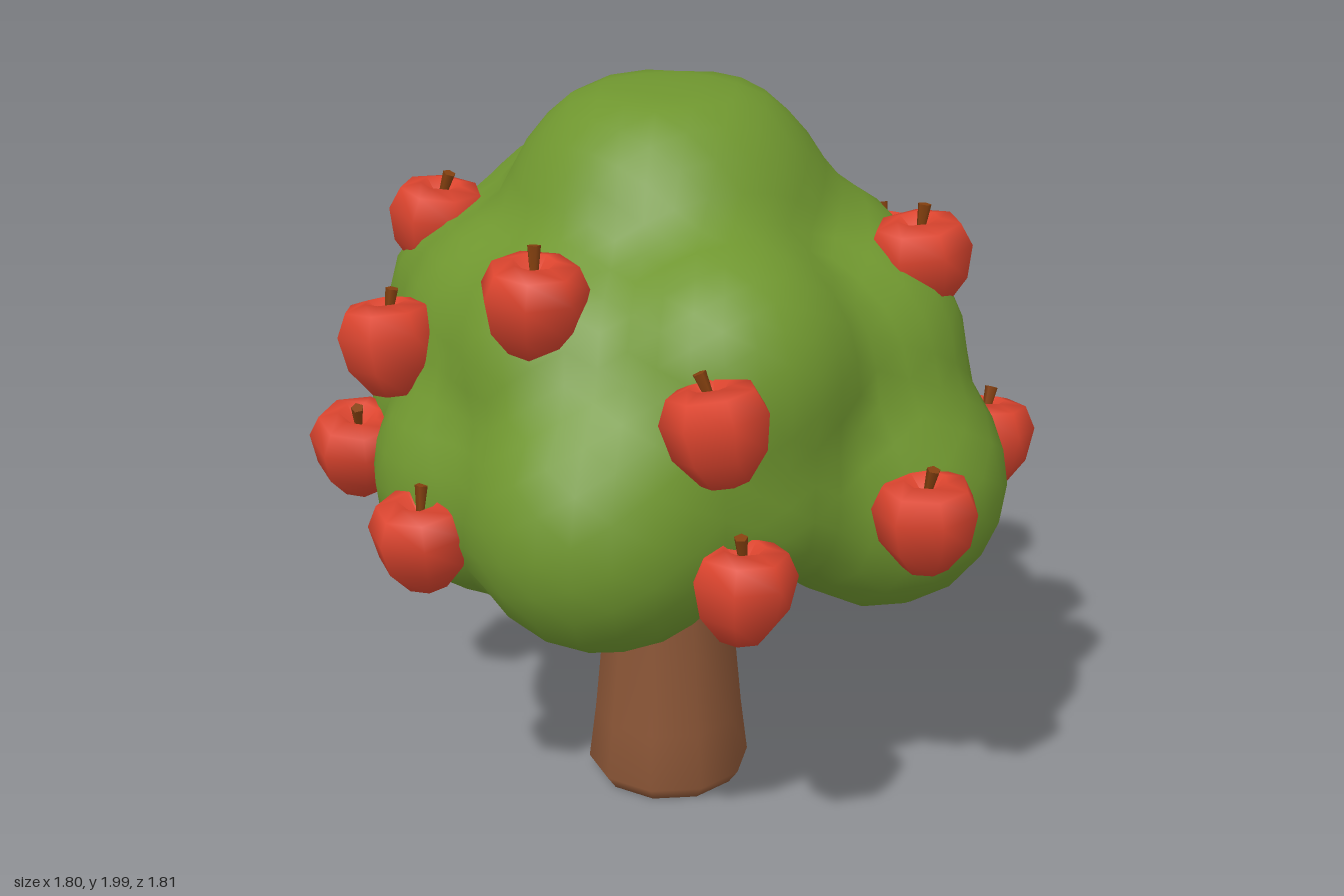
import * as THREE from 'three';
import { mergeVertices } from 'three/addons/utils/BufferGeometryUtils.js';

const material = (name, color) => {
  const m = new THREE.MeshStandardMaterial({ color });
  m.name = name;
  return m;
};

// Foliage lobes: x, y, z, radius
const LOBES = [
  // crown and core
  [0.02, 1.59, -0.03, 0.45], [0, 1.2, 0, 0.45],
  // front
  [-0.02, 1.36, 0.41, 0.36], [-0.35, 1.03, 0.42, 0.365], [0.42, 0.99, 0.43, 0.345], [0.03, 1.08, 0.45, 0.3],
  // right-hand side of the front
  [0.45, 1.1, -0.07, 0.34], [0.44, 0.99, -0.18, 0.34], [0.38, 1.42, 0.08, 0.3], [0.38, 1.33, 0.32, 0.31],
  // back
  [0.18, 1.01, -0.43, 0.36], [-0.35, 1.02, -0.38, 0.36], [-0.06, 1.44, -0.41, 0.345], [0.2, 1.42, -0.42, 0.29],
  // left-hand side of the front
  [-0.49, 1.02, 0.03, 0.34], [-0.39, 1.36, -0.1, 0.31], [-0.36, 1.37, 0.2, 0.3], [-0.37, 1.36, -0.36, 0.28],
];

// Soft union of the lobes; positive inside
function foliageField(p) {
  const k = 30;
  let sum = 0;
  for (const [x, y, z, r] of LOBES) {
    sum += Math.exp(k * (r - Math.hypot(p.x - x, p.y - y, p.z - z)));
  }
  return Math.log(sum) / k - 0.004;
}

// Sphere whose points are pulled in until they touch the lobes
function foliageGeometry() {
  let geo = new THREE.IcosahedronGeometry(1, 9);
  geo.deleteAttribute('normal');
  geo.deleteAttribute('uv');
  geo = mergeVertices(geo, 1e-4);
  const pos = geo.attributes.position;
  const centre = new THREE.Vector3(0, 1.2, 0);
  const dir = new THREE.Vector3(), p = new THREE.Vector3();
  for (let i = 0; i < pos.count; i++) {
    dir.fromBufferAttribute(pos, i).normalize();
    let t = 1.2;
    for (let step = 0; step < 80; step++) {
      p.copy(centre).addScaledVector(dir, t);
      const f = foliageField(p);
      if (f > -0.001 || t < 0.1) break;
      t += f * 0.9;
    }
    // the crown is slightly flattened on top
    pos.setXYZ(i, p.x, Math.min(p.y, 1.97 + (p.y - 1.97) * 0.3), p.z);
  }
  geo.computeVertexNormals();
  return geo;
}

const lathe = (points, sides) =>
  new THREE.LatheGeometry(points.map(([r, y]) => new THREE.Vector2(r, y)), sides);

export function createModel() {
  const green = material('leaf green', 0x6f962f);
  const brown = material('bark brown', 0x8a5536);
  const red = material('apple red', 0xdb442e);
  const stemBrown = material('stem brown', 0x84400f);

  const tree = new THREE.Group();
  tree.name = 'appleTree';
  const add = (parent, name, geo, mat) => {
    const mesh = new THREE.Mesh(geo, mat);
    mesh.name = name;
    parent.add(mesh);
    return mesh;
  };

  add(tree, 'foliage', foliageGeometry(), green);

  // Flared trunk with a shallow hollow underneath
  const trunk = add(tree, 'trunk', lathe([
    [0.14, 0.04], [0.18, 0.01], [0.2, 0.0], [0.228, 0.04], [0.208, 0.2], [0.18, 0.5], [0.17, 0.7], [0.15, 0.95],
  ], 10), brown);
  trunk.position.set(-0.005, 0, 0.022);
  const hollow = add(tree, 'trunkHollow', new THREE.CircleGeometry(0.145, 10), green);
  hollow.rotation.x = Math.PI / 2;
  hollow.position.set(-0.005, 0.04, 0.022);

  // Branches reaching into the foliage
  const branches = [
    [[0.0, 0.53, 0.04], [-0.36, 0.88, 0.34]],
    [[0.02, 0.53, 0.03], [0.1, 0.88, -0.4]],
  ];
  for (const [from, to] of branches) {
    const a = new THREE.Vector3(...from), b = new THREE.Vector3(...to);
    const axis = b.clone().sub(a);
    const branch = add(tree, 'branch', new THREE.CylinderGeometry(0.055, 0.12, axis.length(), 8), brown);
    branch.position.copy(a).add(b).multiplyScalar(0.5);
    branch.quaternion.setFromUnitVectors(new THREE.Vector3(0, 1, 0), axis.normalize());
  }

  // Apples, with a dimple around each stem
  const appleGeo = lathe([
    [0, -0.105], [0.06, -0.125], [0.118, -0.05], [0.137, 0.04], [0.11, 0.1], [0.055, 0.115], [0, 0.06],
  ], 7);
  const stemGeo = new THREE.CylinderGeometry(0.018, 0.008, 0.1, 5);
  const spots = [
    [0.54, 1.57, 0.4], [-0.51, 1.58, 0.37], [-0.2, 1.35, 0.77], [-0.13, 0.92, 0.77],
    [0.37, 1.02, 0.78], [0.77, 1.02, 0.38], [0.75, 1.39, -0.17], [0.77, 0.93, -0.3],
    [0.4, 1.63, -0.42], [-0.5, 1.57, -0.4], [-0.35, 1.02, -0.74], [0.13, 1.39, -0.77],
    [0.41, 1.02, -0.76], [-0.76, 0.96, -0.38], [-0.75, 1.37, -0.06], [-0.77, 0.94, 0.22],
  ];
  spots.forEach(([x, y, z], i) => {
    const apple = new THREE.Group();
    apple.name = 'apple';
    add(apple, 'appleBody', appleGeo, red);
    const stem = add(apple, 'appleStem', stemGeo, stemBrown);
    stem.position.set(0.01, 0.1, 0);
    stem.rotation.z = -0.25;
    apple.position.set(x, y, z);
    apple.rotation.set(0.12 * Math.sin(i * 2.1), i * 1.3, 0.12 * Math.cos(i * 1.7));
    tree.add(apple);
  });

  return tree;
}
